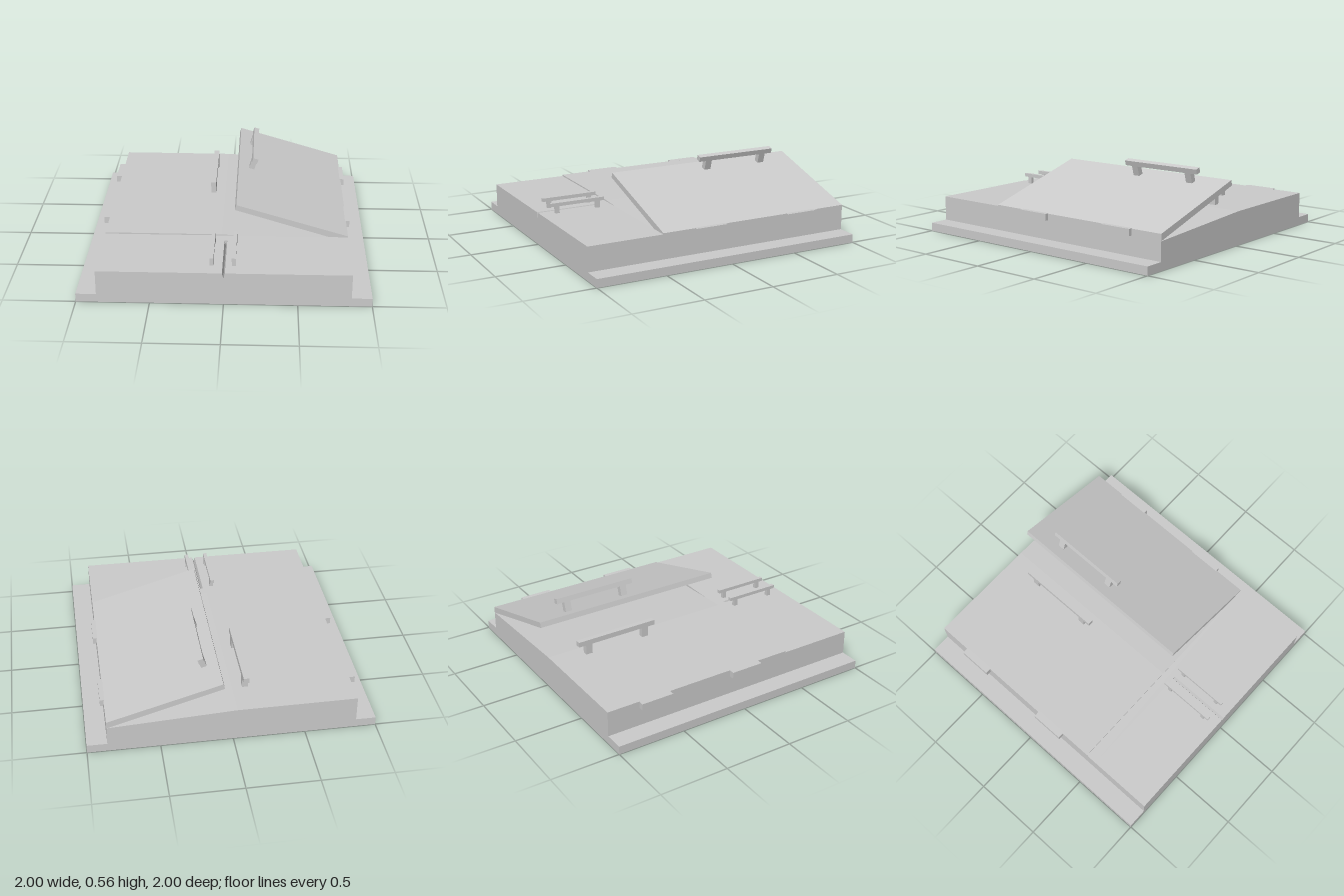
import * as THREE from 'three';

export function createModel() {
  const model = new THREE.Group();
  const mat = new THREE.MeshStandardMaterial({ color: 0xcccccc, flatShading: true });

  function box(parent, name, x0, x1, y0, y1, z0, z1) {
    const m = new THREE.Mesh(new THREE.BoxGeometry(x1 - x0, y1 - y0, z1 - z0), mat);
    m.position.set((x0 + x1) / 2, (y0 + y1) / 2, (z0 + z1) / 2);
    m.name = name;
    parent.add(m);
  }

  // Extrudes an xy outline along z
  function prism(name, points, z0, z1) {
    const shape = new THREE.Shape(points.map(p => new THREE.Vector2(...p)));
    const geo = new THREE.ExtrudeGeometry(shape, { depth: z1 - z0, bevelEnabled: false });
    geo.translate(0, 0, z0);
    const m = new THREE.Mesh(geo, mat);
    m.name = name;
    model.add(m);
  }

  // Pull handle: a long bar on two posts, origin at the foot of the posts
  function handle(name, { width, height, bar, length, post, inset, at, tilt = 0 }) {
    const g = new THREE.Group();
    g.name = name;
    box(g, 'handleBar', -width / 2, width / 2, height - bar, height, -length / 2, length / 2);
    for (const s of [-1, 1]) {
      const z = s * (length / 2 - inset - post / 2);
      box(g, 'handlePost', -width / 2, width / 2, -0.01, height - bar, z - post / 2, z + post / 2);
    }
    g.position.set(...at);
    g.rotation.z = tilt;
    model.add(g);
  }

  // Base flange
  box(model, 'baseFlange', -1, 1, 0, 0.06, -1, 1);

  // Front curb with a V-groove along its centre line
  prism('frontCurb', [[-0.86, 0.06], [0.86, 0.06], [0.86, 0.235], [0.01, 0.235],
    [0, 0.2], [-0.01, 0.235], [-0.86, 0.235]], 0.53, 1);
  box(model, 'curbCrosspiece', -0.86, 0.86, 0.06, 0.235, 0.45, 0.53);

  // Rear body: closed leaf on one side, sloping recess below the open leaf
  prism('rearBodyAndClosedLeaf', [[-0.86, 0.06], [0.86, 0.06], [0.86, 0.195],
    [-0.03, 0.243], [-0.86, 0.245]], -1, 0.45);

  // Raised leaf
  prism('openLeaf', [[0.86, 0.195], [0.86, 0.243], [0.07, 0.475], [0.06, 0.437]], -1, 0.45);

  // Hinge tabs
  for (const [z0, z1] of [[-0.76, -0.52], [-0.03, 0.21]]) {
    box(model, 'rightHingeTab', -0.9, -0.85, 0.197, 0.245, z0, z1);
    box(model, 'leftHingeTab', 0.85, 0.885, 0.197, 0.245, z0, z1);
  }

  // Leaf handles
  const large = { width: 0.04, height: 0.11, bar: 0.037, length: 0.62, post: 0.05, inset: 0.055 };
  handle('closedLeafHandle', { ...large, at: [-0.12, 0.244, -0.5] });
  handle('openLeafHandle', { ...large, at: [0.167, 0.446, -0.5], tilt: -0.286 });

  // Front handles
  const small = { width: 0.027, height: 0.075, bar: 0.025, length: 0.41, post: 0.03, inset: 0.035 };
  handle('frontRightHandle', { ...small, at: [-0.083, 0.235, 0.725] });
  handle('frontLeftHandle', { ...small, at: [0.067, 0.235, 0.725] });

  return model;
}
